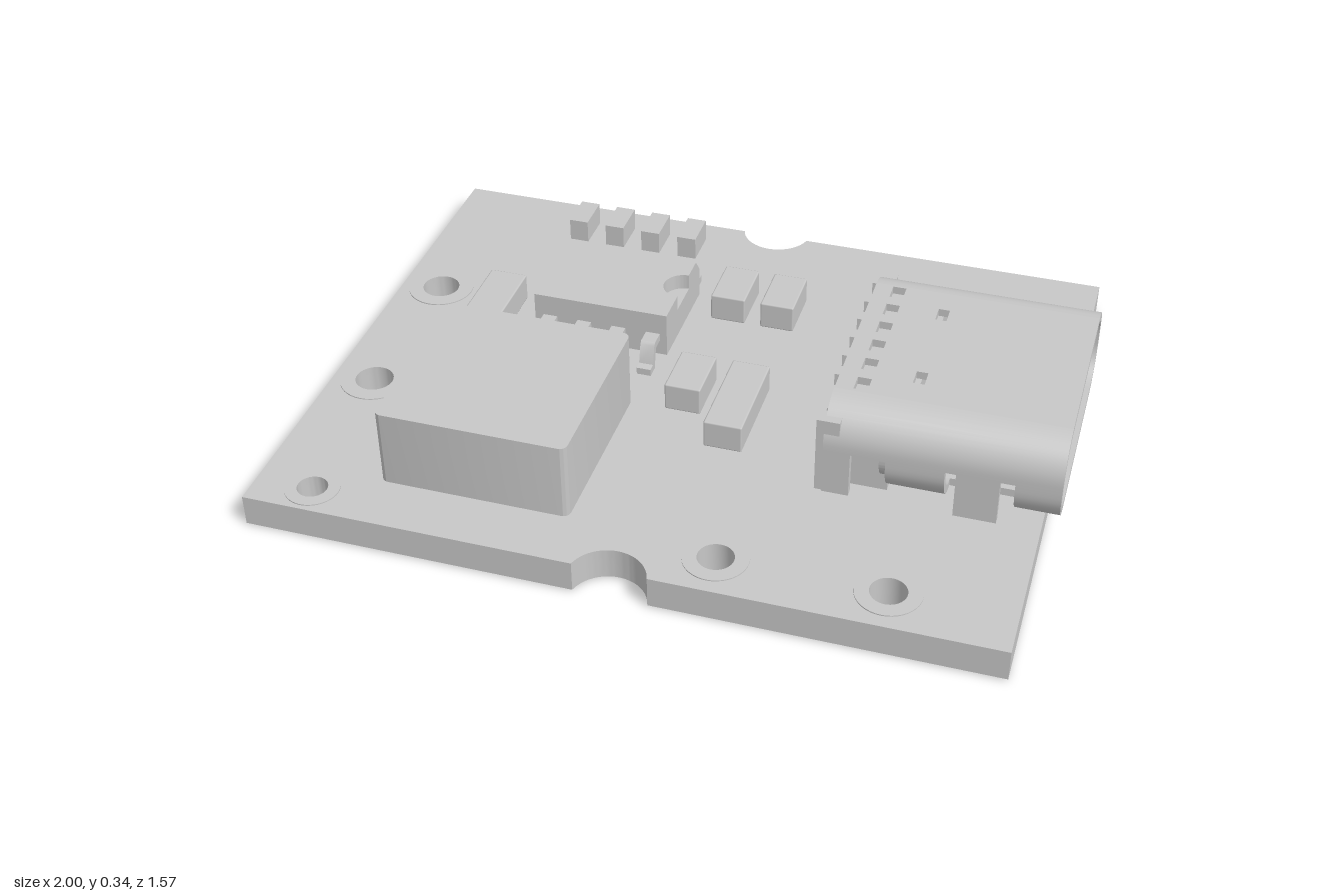
import * as THREE from 'three';
import { toCreasedNormals } from 'three/addons/utils/BufferGeometryUtils.js';
import { RoundedBoxGeometry } from 'three/addons/geometries/RoundedBoxGeometry.js';

const grey = new THREE.MeshStandardMaterial({ color: 0xc8c8c8 });
grey.name = 'grey';
const TOP = 0.09; // board surface

function add(parent, name, geometry) {
  const mesh = new THREE.Mesh(geometry, grey);
  mesh.name = name;
  parent.add(mesh);
  return mesh;
}

// Box given by its limits
function box(parent, name, x0, x1, y0, y1, z0, z1) {
  return add(parent, name, new THREE.BoxGeometry(x1 - x0, y1 - y0, z1 - z0)
    .translate((x0 + x1) / 2, (y0 + y1) / 2, (z0 + z1) / 2));
}

// Plan shape (x, -z) raised from y0 to y1
function plan(shape, y0, y1) {
  const g = new THREE.ExtrudeGeometry(shape, { depth: y1 - y0, bevelEnabled: false, curveSegments: 20 });
  return toCreasedNormals(g.rotateX(-Math.PI / 2).translate(0, y0, 0), 0.6);
}

// Cross-section (-z, y) drawn out from x0 to x1
function along(shape, x0, x1, z = 0) {
  const g = new THREE.ExtrudeGeometry(shape, { depth: x1 - x0, bevelEnabled: false, curveSegments: 12 });
  return toCreasedNormals(g.rotateY(Math.PI / 2).translate(x0, 0, z), 0.6);
}

function rect(x0, x1, z0, z1, Type = THREE.Shape) {
  return new Type([[x0, -z1], [x1, -z1], [x1, -z0], [x0, -z0]].map(p => new THREE.Vector2(...p)));
}

function roundRect(w, h, r, cy) {
  const s = new THREE.Shape();
  s.absarc(w - r, cy + h - r, r, 0, Math.PI / 2);
  s.absarc(r - w, cy + h - r, r, Math.PI / 2, Math.PI);
  s.absarc(r - w, cy - h + r, r, Math.PI, Math.PI * 1.5);
  s.absarc(w - r, cy - h + r, r, Math.PI * 1.5, Math.PI * 2);
  return s;
}

function buildBoard(root) {
  // Outline with a round notch in the front and back edges
  const s = new THREE.Shape(), a = Math.asin(0.25);
  s.moveTo(0.96, -0.785);
  s.lineTo(0.96, 0.785);
  s.absarc(-0.02, 0.81, 0.1, -a, a - Math.PI, true);
  s.lineTo(-1, 0.785);
  s.lineTo(-1, -0.785);
  s.absarc(-0.02, -0.81, 0.1, Math.PI - a, a, true);
  const holes = [[-0.885, -0.24, 0.052], [-0.885, 0.23, 0.052], [-0.845, 0.7, 0.04],
    [0.215, 0.665, 0.047], [0.645, 0.665, 0.047]];
  for (const [x, z, r] of holes) {
    const hole = new THREE.Path();
    hole.absarc(x, -z, r, 0, Math.PI * 2);
    s.holes.push(hole);
    // Thin solder pads on both faces
    const ring = new THREE.Shape();
    ring.absarc(x, -z, r * 1.8, 0, Math.PI * 2);
    ring.holes.push(hole);
    add(root, 'topPad', plan(ring, TOP, TOP + 0.003));
    add(root, 'bottomPad', plan(ring, 0, 0.004));
  }
  add(root, 'board', plan(s, 0.004, TOP));
}

function buildChip(root) {
  const chip = new THREE.Group();
  chip.name = 'chip';
  root.add(chip);
  // Body outline with the half-round mark at one end
  const s = new THREE.Shape();
  s.moveTo(-0.53, 0.085);
  s.lineTo(-0.145, 0.085);
  s.lineTo(-0.145, 0.185);
  s.absarc(-0.145, 0.24, 0.055, -Math.PI / 2, -Math.PI * 1.5, true);
  s.lineTo(-0.145, 0.4);
  s.lineTo(-0.53, 0.4);
  box(chip, 'chipBase', -0.53, -0.145, 0.105, 0.19, -0.4, -0.085);
  const top = plan(s, 0.19, 0.235), p = top.attributes.position;
  // Bevel along the back edge
  for (let i = 0; i < p.count; i++) if (p.getY(i) > 0.23 && p.getZ(i) < -0.39) p.setZ(i, -0.365);
  add(chip, 'chipTop', toCreasedNormals(top, 0.4));
  // Bent leads on both long sides
  const profile = [[0, 0.15], [0.035, 0.15], [0.05, 0.09], [0.087, 0.09], [0.087, 0.11],
    [0.065, 0.112], [0.05, 0.165], [0.042, 0.172], [0, 0.172]];
  for (const x of [-0.485, -0.385, -0.285, -0.185]) for (const side of [1, -1]) {
    const lead = new THREE.Shape(profile.map(([u, y]) => new THREE.Vector2(side * u, y)));
    add(chip, 'lead', along(lead, x - 0.02, x + 0.02, side > 0 ? -0.4 : -0.085));
  }
}

function buildConnector(root) {
  const con = new THREE.Group();
  con.name = 'connector';
  con.position.z = -0.005;
  root.add(con);
  const W = 0.35, F = 0.245, R = 0.105, T = 0.022, HI = 0.343, LO = 0.098, MID = (HI + LO) / 2;

  // Top sheet with pierced windows
  const sheet = rect(0.4, 1, -F, F);
  for (const z of [-0.215, -0.13, -0.045, 0.04, 0.125, 0.21])
    sheet.holes.push(rect(0.447, 0.483, z - 0.025, z + 0.025, THREE.Path));
  for (const z of [-0.145, 0.145])
    sheet.holes.push(rect(0.585, 0.615, z - 0.025, z + 0.025, THREE.Path));
  add(con, 'shellTop', plan(sheet, HI - T, HI));
  box(con, 'shellBottom', 0.56, 1, LO, LO + T, -F, F);

  // Curved corner strip: side = left/right, up = upper/lower
  const corner = (side, up, x0, x1) => {
    const pts = [];
    const arc = (r, from, to) => {
      for (let i = 0; i <= 10; i++) {
        const a = from + (to - from) * i / 10;
        pts.push([F + r * Math.cos(a), HI - R + r * Math.sin(a)]);
      }
    };
    arc(R, Math.PI / 2, 0);
    pts.push([W, MID], [W - T, MID]);
    arc(R - T, 0, Math.PI / 2);
    const shape = new THREE.Shape(pts.map(([u, y]) =>
      new THREE.Vector2(side * u, up > 0 ? y : 2 * MID - y)));
    add(con, 'shellCorner', along(shape, x0, x1));
  };
  for (const side of [1, -1]) {
    corner(side, 1, 0.4, 1);
    corner(side, -1, 0.56, 0.71);
    corner(side, -1, 0.885, 1);
    // Straight mounting legs reaching the board
    for (const [x0, x1] of [[0.4, 0.47], [0.738, 0.848]]) {
      const z0 = side > 0 ? W - T : -W;
      box(con, 'shellLeg', x0, x1, TOP, MID, z0, z0 + T);
    }
    const z0 = side > 0 ? 0.29 : -0.345;
    box(con, 'rearTab', 0.38, 0.44, TOP, 0.31, z0, z0 + 0.055);
  }

  // Plastic housing, inner wall and tongue
  box(con, 'housing', 0.395, 0.56, TOP, 0.318, -0.3, 0.3);
  add(con, 'innerWall', along(roundRect(0.329, 0.101, 0.084, MID), 0.54, 0.6));
  add(con, 'tongue', along(roundRect(0.265, 0.024, 0.023, MID), 0.58, 0.93));
  for (let i = 0; i < 12; i++) {
    const z = -0.22 + i * 0.04;
    for (const y of [MID - 0.027, MID + 0.023])
      box(con, 'contact', 0.62, 0.9, y, y + 0.004, z - 0.01, z + 0.01);
    box(con, 'rearPin', 0.367, 0.4, TOP, 0.115, z - 0.011, z + 0.011);
  }
  for (let i = 0; i < 5; i++) {
    const z = -0.173 + i * 0.085;
    box(con, 'rearRib', 0.385, 0.43, 0.3, 0.335, z - 0.012, z + 0.012);
  }
}

export function createModel() {
  const root = new THREE.Group();
  root.name = 'circuitBoard';
  buildBoard(root);
  buildChip(root);
  buildConnector(root);

  // Power coil block with rounded upright corners
  const coil = roundRect(0.255, 0.255, 0.02, 0);
  add(root, 'coil', plan(coil, TOP, 0.305)).position.set(-0.435, 0, 0.37);

  // Small passive parts: x0, x1, z0, z1
  const parts = [[-0.73, -0.622, -0.26, 0.027], [-0.085, 0.015, -0.47, -0.31],
    [0.06, 0.157, -0.47, -0.31], [-0.085, 0.015, -0.03, 0.13], [0.06, 0.165, -0.03, 0.255]];
  for (const [x0, x1, z0, z1] of parts) {
    const g = new RoundedBoxGeometry(x1 - x0, 0.08, z1 - z0, 1, 0.005);
    add(root, 'passive', g.translate((x0 + x1) / 2, TOP + 0.04, (z0 + z1) / 2));
  }
  for (const x of [-0.583, -0.47, -0.358, -0.245])
    box(root, 'indicator', x - 0.028, x + 0.028, TOP, 0.157, -0.705, -0.595);
  return root;
}
